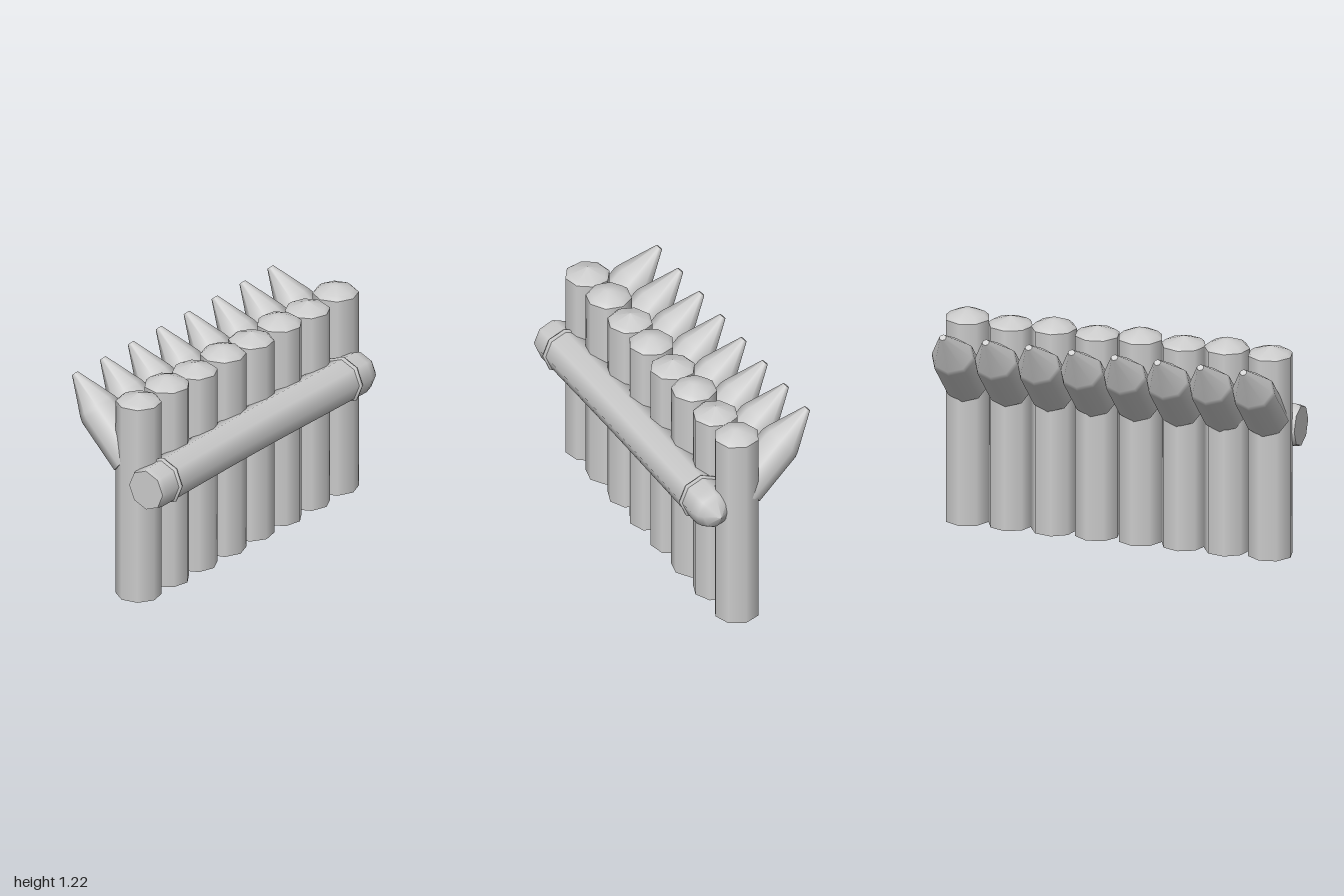
import * as THREE from 'three';

const grey = new THREE.MeshStandardMaterial({ color: 0xcccccc });

// Eight-sided turned log; a repeated point in the profile makes a sharp edge
function turned(profile) {
  return new THREE.LatheGeometry(profile.map(([r, y]) => new THREE.Vector2(r, y)), 8);
}

function addMesh(parent, name, geometry) {
  const mesh = new THREE.Mesh(geometry, grey);
  mesh.name = name;
  parent.add(mesh);
  return mesh;
}

// Height of the slightly bowed rail's axis at a given x
function railHeight(x) {
  return 0.73 - 0.023 * Math.pow(Math.max(0, (0.1 - x) / 1.1), 1.6);
}

export function createModel() {
  const model = new THREE.Group();
  model.name = 'palisade';

  // Upright posts with domed tops, alternately blunt and peaked
  const posts = new THREE.Group();
  posts.name = 'posts';
  model.add(posts);
  const blunt = turned([[0, 0], [0.127, 0], [0.127, 0], [0.127, 1.165], [0.127, 1.165],
    [0.1, 1.189], [0.03, 1.216], [0, 1.217]]);
  const peaked = turned([[0, 0], [0.126, 0], [0.126, 0], [0.126, 1.155], [0.126, 1.155],
    [0.105, 1.172], [0, 1.206]]);

  // Slanted sharpened stakes behind the posts
  const stakes = new THREE.Group();
  stakes.name = 'stakes';
  model.add(stakes);
  const stake = turned([[0, 0], [0.124, 0], [0.124, 0], [0.124, 0.315], [0.115, 0.345],
    [0.02, 0.561], [0.02, 0.561], [0, 0.561]]);

  for (let i = 0; i < 8; i++) {
    const post = addMesh(posts, 'post', i % 2 ? blunt : peaked);
    post.position.set(-0.874 + 0.25 * i, 0, 0.087);
    post.rotation.y = 0.12 * ((i * 3) % 4 - 1.5);

    const spike = addMesh(stakes, 'stake', stake);
    spike.position.set(-0.872 + 0.248 * i, 0.798, 0.042);
    spike.rotation.x = -Math.PI / 4;
    spike.scale.z = 0.91;
  }

  // Horizontal rail with a cut left end and a pointed right end
  const profile = [[0, -1], [0.115, -1], [0.115, -1], [0.123, -0.97]];
  for (let i = 0; i <= 10; i++) profile.push([0.124, -0.85 + i * 0.17]);
  profile.push([0.108, 0.905], [0.085, 0.93], [0, 0.982]);
  const rail = turned(profile).rotateZ(-Math.PI / 2);
  const p = rail.attributes.position;
  for (let i = 0; i < p.count; i++) p.setY(i, p.getY(i) + railHeight(p.getX(i)));
  addMesh(model, 'rail', rail).position.z = 0.235;

  // Bands around the rail
  const band = turned([[0.118, -0.011], [0.134, -0.009], [0.137, 0], [0.134, 0.009], [0.118, 0.011]])
    .rotateZ(-Math.PI / 2);
  for (const x of [-0.855, 0.747]) {
    addMesh(model, 'railBand', band).position.set(x, railHeight(x), 0.235);
  }

  return model;
}
